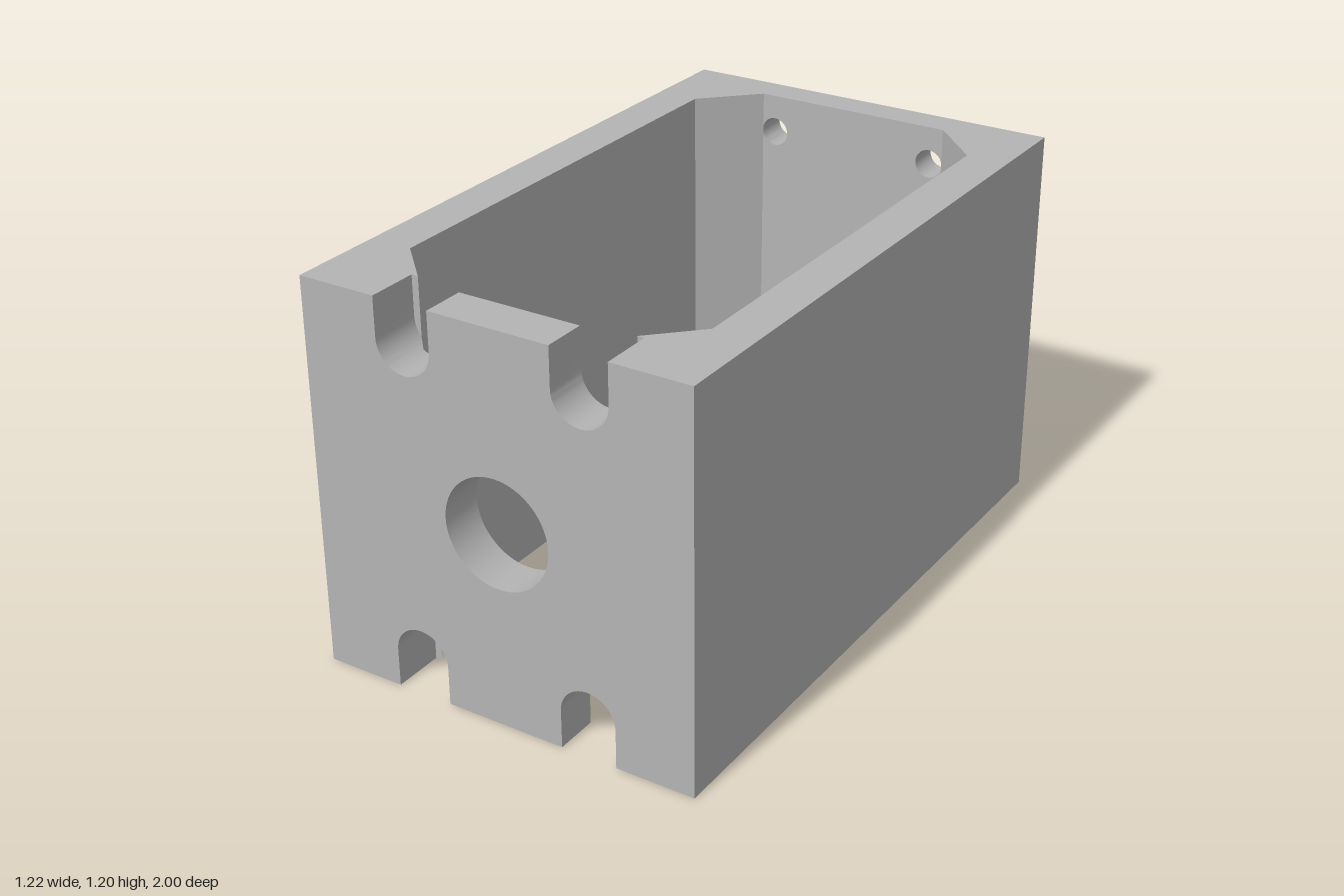
import * as THREE from 'three';
import { mergeGeometries, toCreasedNormals } from 'three/addons/utils/BufferGeometryUtils.js';

const W = 0.612, H = 1.2;                        // half width, height
const SLOT = { x: 0.278, y: 0.12, r: 0.088 };    // slot arc centre and radius
const FRONT = 0.865, BACK = -0.895;              // inner faces of the end walls
const FLOOR = 0.84;                              // depth of the slots
const CX = 0.32, SX = CX + FRONT - FLOOR;        // chamfer start, chamfer at slot floor

const toShape = (pts) => new THREE.Shape(pts.map(([x, y]) => new THREE.Vector2(x, y)));
const mirrorX = (pts) => pts.map(([x, y]) => [-x, y]).reverse();

function addHole(shape, x, y, r) {
  const hole = new THREE.Path();
  hole.absarc(x, y, r, 0, Math.PI * 2, true);
  shape.holes.push(hole);
}

// Part of the slot's rounded end between two x positions
function slotArc(x0, x1) {
  const angle = (x) => Math.acos(THREE.MathUtils.clamp((x - SLOT.x) / SLOT.r, -1, 1));
  const a0 = angle(x0), a1 = angle(x1);
  const n = Math.max(2, Math.ceil((a0 - a1) / 0.12));
  return Array.from({ length: n + 1 }, (_, i) => {
    const a = a0 + (a1 - a0) * i / n;
    return [SLOT.x + SLOT.r * Math.cos(a), SLOT.y + SLOT.r * Math.sin(a)];
  });
}

// Outline from a lower edge, with the same edge mirrored at the top
const strip = (edge) => [...edge, ...edge.map(([x, y]) => [x, H - y]).reverse()];

// Removes the hidden faces where neighbouring strips meet
function dropJoints(geo) {
  const src = geo.attributes.position.array, kept = [];
  for (let i = 0; i < src.length; i += 9) {
    const xs = [src[i], src[i + 3], src[i + 6]].map(Math.abs);
    const joint = [CX, SX].some((c) => xs.every((x) => Math.abs(x - c) < 1e-5));
    if (!joint) kept.push(...src.slice(i, i + 9));
  }
  const out = new THREE.BufferGeometry();
  out.setAttribute('position', new THREE.Float32BufferAttribute(kept, 3));
  return out;
}

// Front wall: strips whose inner face follows the corner chamfers
function frontWallGeometry() {
  const inner = [[SLOT.x - SLOT.r, 0], ...slotArc(SLOT.x - SLOT.r, CX)];
  const wedge = slotArc(CX, SX);
  const outer = [...slotArc(SX, SLOT.x + SLOT.r), [SLOT.x + SLOT.r, 0], [W, 0]];
  const middle = toShape(strip([...mirrorX(inner), ...inner]));
  addHole(middle, 0, 0.602, 0.167);
  const shapes = [middle];
  for (const edge of [wedge, outer]) {
    shapes.push(toShape(strip(edge)), toShape(strip(mirrorX(edge))));
  }
  const parts = shapes.map((shape) => {
    const geo = new THREE.ExtrudeGeometry(shape, { depth: 1 - FLOOR, bevelEnabled: false, curveSegments: 32 });
    geo.translate(0, 0, FLOOR);
    const p = geo.attributes.position;
    for (let i = 0; i < p.count; i++) {
      if (p.getZ(i) < FLOOR + 0.01) {
        p.setZ(i, THREE.MathUtils.clamp(FRONT - (Math.abs(p.getX(i)) - CX), FLOOR, FRONT));
      }
    }
    return dropJoints(geo);
  });
  return toCreasedNormals(mergeGeometries(parts), 0.5);
}

// Back wall with four screw holes
function backWallGeometry() {
  const shape = toShape([[-W, 0], [W, 0], [W, H], [-W, H]]);
  for (const x of [-0.276, 0.276]) {
    for (const y of [0.12, H - 0.12]) addHole(shape, x, y, 0.045);
  }
  const geo = new THREE.ExtrudeGeometry(shape, { depth: BACK + 1, bevelEnabled: false, curveSegments: 16 });
  geo.translate(0, 0, -1);
  return toCreasedNormals(geo, 0.5);
}

// Side wall with chamfered inner corners, drawn in plan as (x, -z)
function sideWallGeometry(side) {
  const plan = [[W, -FLOOR], [W, -BACK], [CX, -BACK], [0.48, 0.735], [0.48, -0.705], [SX, -FLOOR]];
  const geo = new THREE.ExtrudeGeometry(toShape(side > 0 ? plan : mirrorX(plan)), { depth: H, bevelEnabled: false });
  geo.rotateX(-Math.PI / 2);
  return geo;
}

export function createModel() {
  const grey = new THREE.MeshStandardMaterial({ color: 0xb4b4b4 });
  grey.name = 'grey';
  const model = new THREE.Group();
  model.name = 'housing';
  const add = (name, geo) => {
    const mesh = new THREE.Mesh(geo, grey);
    mesh.name = name;
    model.add(mesh);
  };
  add('frontWall', frontWallGeometry());
  add('backWall', backWallGeometry());
  add('leftWall', sideWallGeometry(1));
  add('rightWall', sideWallGeometry(-1));
  return model;
}
